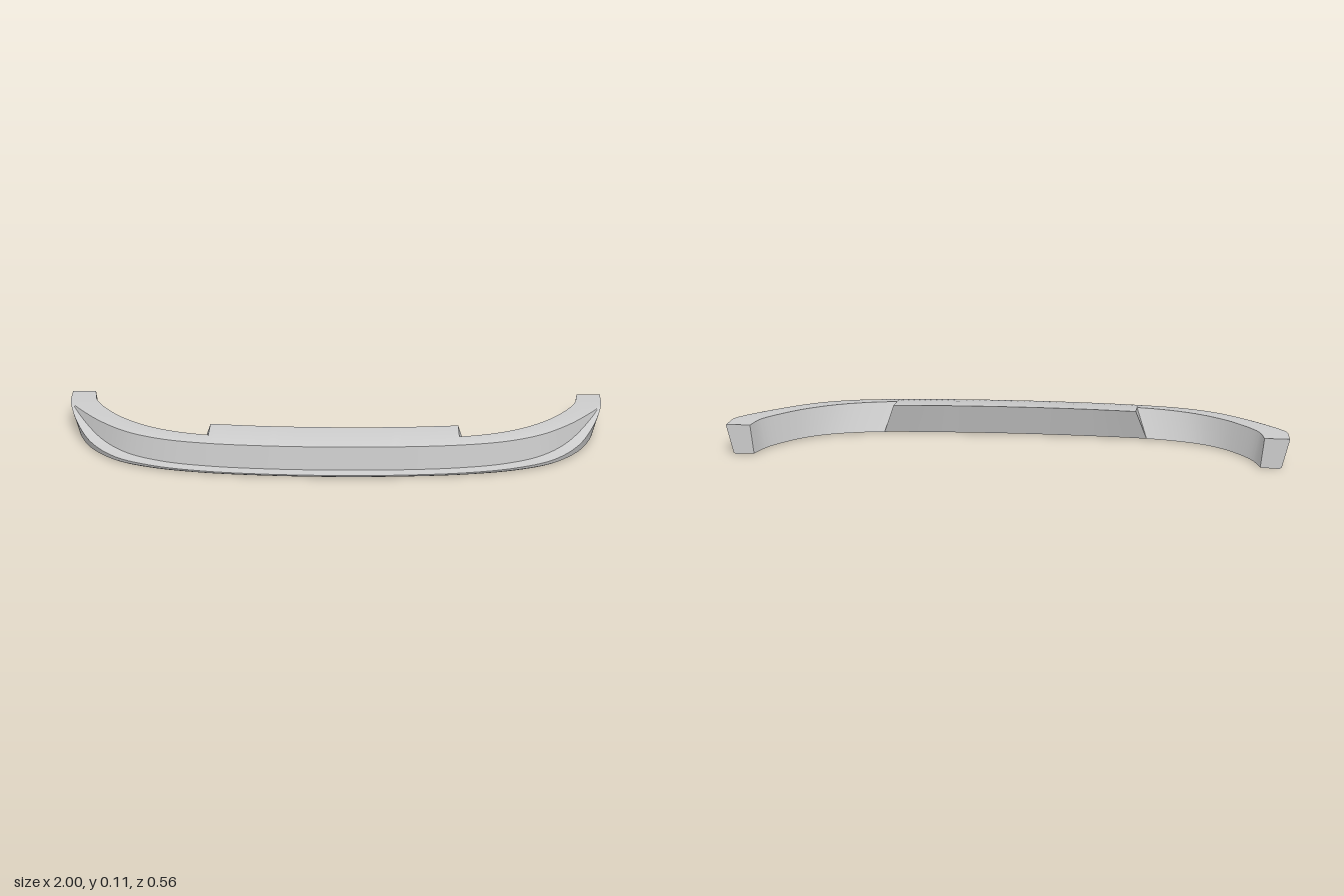
import * as THREE from 'three';
import { toCreasedNormals } from 'three/addons/utils/BufferGeometryUtils.js';

// Smooth rail through [x, y, z] points of one half, mirrored; s = station number, 0 at the middle
function rail(half) {
  const n = half.length - 1;
  const pts = [
    ...half.slice(1).reverse().map(([x, y, z]) => new THREE.Vector3(-x, y, z)),
    ...half.map((p) => new THREE.Vector3(...p)),
  ];
  const curve = new THREE.CatmullRomCurve3(pts, false, 'centripetal');
  return (s) => curve.getPoint((s + n) / (2 * n));
}

// Outer edge of the lip, climbing to the top at the sides
const lipEdge = rail([
  [0, 0.01, 0.28], [0.25, 0.01, 0.272], [0.47, 0.011, 0.25], [0.65, 0.014, 0.211], [0.79, 0.02, 0.148],
  [0.89, 0.036, 0.05], [0.955, 0.071, -0.06], [0.99, 0.105, -0.16], [1, 0.107, -0.28],
]);
// Top edge of the upright front wall
const wallTop = rail([
  [0, 0.1, 0.235], [0.24, 0.1, 0.228], [0.45, 0.1, 0.208], [0.61, 0.101, 0.175], [0.74, 0.102, 0.115],
  [0.84, 0.103, 0.03], [0.925, 0.105, -0.07], [0.985, 0.107, -0.165], [0.997, 0.108, -0.28],
]);
// Inner edge of the underside
const innerBottom = rail([
  [0, 0.003, 0.115], [0.25, 0.003, 0.108], [0.49, 0.003, 0.088], [0.59, 0.003, 0.065], [0.69, 0.003, 0.025],
  [0.77, 0.003, -0.035], [0.83, 0.003, -0.11], [0.875, 0.003, -0.19], [0.9, 0.003, -0.28],
]);
// Inner edge of the top on the arms
const armTop = rail([
  [0, 0.107, 0.165], [0.25, 0.107, 0.16], [0.45, 0.107, 0.145], [0.57, 0.107, 0.115], [0.675, 0.107, 0.065],
  [0.77, 0.107, -0.01], [0.845, 0.107, -0.1], [0.895, 0.108, -0.19], [0.912, 0.108, -0.28],
]);
// Inner edge of the overhanging middle shelf
const shelfTop = rail([[0, 0.113, 0.08], [0.25, 0.113, 0.073], [0.45, 0.113, 0.055]]);

// Cross-section at station s, from inner bottom round to inner top
function section(s, topRail) {
  const edge = lipEdge(s), top = wallTop(s), inner = innerBottom(s);
  const inward = inner.clone().sub(edge).setY(0).normalize();
  const out = (d, y) => edge.clone().addScaledVector(inward, d).setY(y);
  const lean = 0.24 * edge.y;
  const wallBase = top.clone().lerp(edge, 0.2).setY(Math.min(edge.y + 0.005, top.y));
  const shoulder = top.clone().addScaledVector(inward, 0.008).setY(top.y + (0.108 - top.y) * 0.5);
  return [inner, out(lean + 0.008, 0), out(lean, 0.005), edge, wallBase, top, shoulder, topRail(s)];
}

// Loft of the sections between two stations, with optional end caps
function loft(name, from, to, topRail, capStart, capEnd) {
  const steps = Math.round((to - from) * 10);
  const rings = Array.from({ length: steps + 1 }, (_, i) => section(from + ((to - from) * i) / steps, topRail));
  const n = rings[0].length;
  const index = [];
  for (let i = 0; i < steps; i++) {
    for (let j = 0; j < n; j++) {
      const k = (j + 1) % n;
      const a = i * n + j, b = (i + 1) * n + j, c = (i + 1) * n + k, d = i * n + k;
      index.push(a, b, c, a, c, d);
    }
  }
  const cap = (i, flip) => {
    const ring = rings[i];
    const dir = ring[3].clone().sub(ring[0]).setY(0).normalize();
    const flat = ring.map((p) => new THREE.Vector2(p.clone().sub(ring[0]).dot(dir), p.y));
    for (const [a, b, c] of THREE.ShapeUtils.triangulateShape(flat, [])) {
      index.push(i * n + a, i * n + (flip ? c : b), i * n + (flip ? b : c));
    }
  };
  if (capStart) cap(0, false);
  if (capEnd) cap(steps, true);

  const geometry = new THREE.BufferGeometry().setFromPoints(rings.flat());
  geometry.setIndex(index);
  const material = new THREE.MeshStandardMaterial({ color: 0xcccccc, side: THREE.DoubleSide });
  const mesh = new THREE.Mesh(toCreasedNormals(geometry, 0.5), material);
  mesh.name = name;
  return mesh;
}

export function createModel() {
  const group = new THREE.Group();
  group.name = 'frontLip';
  group.add(
    loft('rightArm', -8, -2, armTop, true, false),
    loft('middleSection', -2, 2, shelfTop, true, true),
    loft('leftArm', 2, 8, armTop, false, true),
  );
  return group;
}
